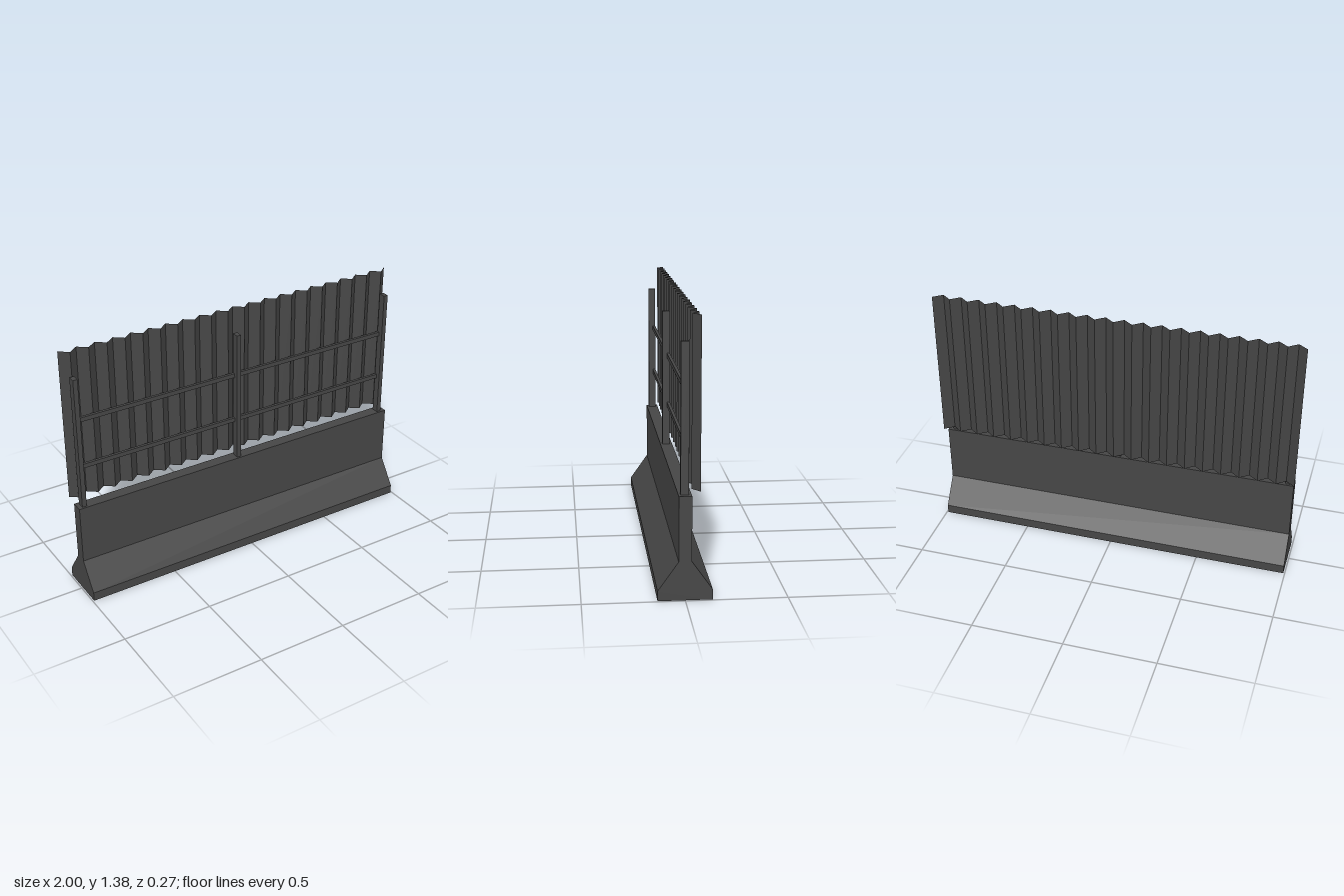
import * as THREE from 'three';

export function createModel() {
  const model = new THREE.Group();
  const grey = new THREE.MeshStandardMaterial({ color: 0x464646 });
  grey.name = 'dark grey';
  const sheetGrey = grey; // one colour throughout
  sheetGrey.side = THREE.DoubleSide; // the sheet is open and thin

  const add = (name, geometry, x = 0, y = 0, z = 0) => {
    const mesh = new THREE.Mesh(geometry, grey);
    mesh.name = name;
    mesh.position.set(x, y, z);
    model.add(mesh);
  };
  // Box given by its extents
  const addBox = (name, x0, x1, y0, y1, z0, z1) =>
    add(name, new THREE.BoxGeometry(x1 - x0, y1 - y0, z1 - z0),
      (x0 + x1) / 2, (y0 + y1) / 2, (z0 + z1) / 2);

  // Concrete base: flared profile extruded along x
  const half = [[0.134, 0], [0.134, 0.05], [0.032, 0.195], [0.032, 0.52]];
  const mirrored = half.map(([z, y]) => [-z, y]).reverse();
  const profile = new THREE.Shape([...half, ...mirrored].map(([z, y]) => new THREE.Vector2(z, y)));
  const base = new THREE.ExtrudeGeometry(profile, { depth: 1.984, bevelEnabled: false });
  base.translate(0, 0, -0.992);
  base.rotateY(Math.PI / 2);
  add('concreteBarrier', base);

  // Three posts standing on the base
  const posts = [[-0.97, -0.945], [-0.028, -0.003], [0.94, 0.965]];
  for (const [x0, x1] of posts) addBox('post', x0, x1, 0.52, 1.257, -0.019, 0.021);

  // Two rails in each bay between the posts
  for (const y of [0.733, 1.003]) {
    for (let i = 0; i < 2; i++) {
      addBox('rail', posts[i][1], posts[i + 1][0], y, y + 0.024, -0.019, -0.003);
    }
  }

  // Corrugated sheet: 40 flat strips folded back and forth
  const strips = 40;
  const sheet = new THREE.PlaneGeometry(2, 0.84, strips, 1);
  const pos = sheet.attributes.position;
  for (let i = 0; i < pos.count; i++) {
    pos.setZ(i, (i % (strips + 1)) % 2 ? -0.032 : -0.071);
  }
  const folded = sheet.toNonIndexed();
  folded.computeVertexNormals();
  add('corrugatedSheet', folded, 0, 0.965, 0);

  return model;
}
